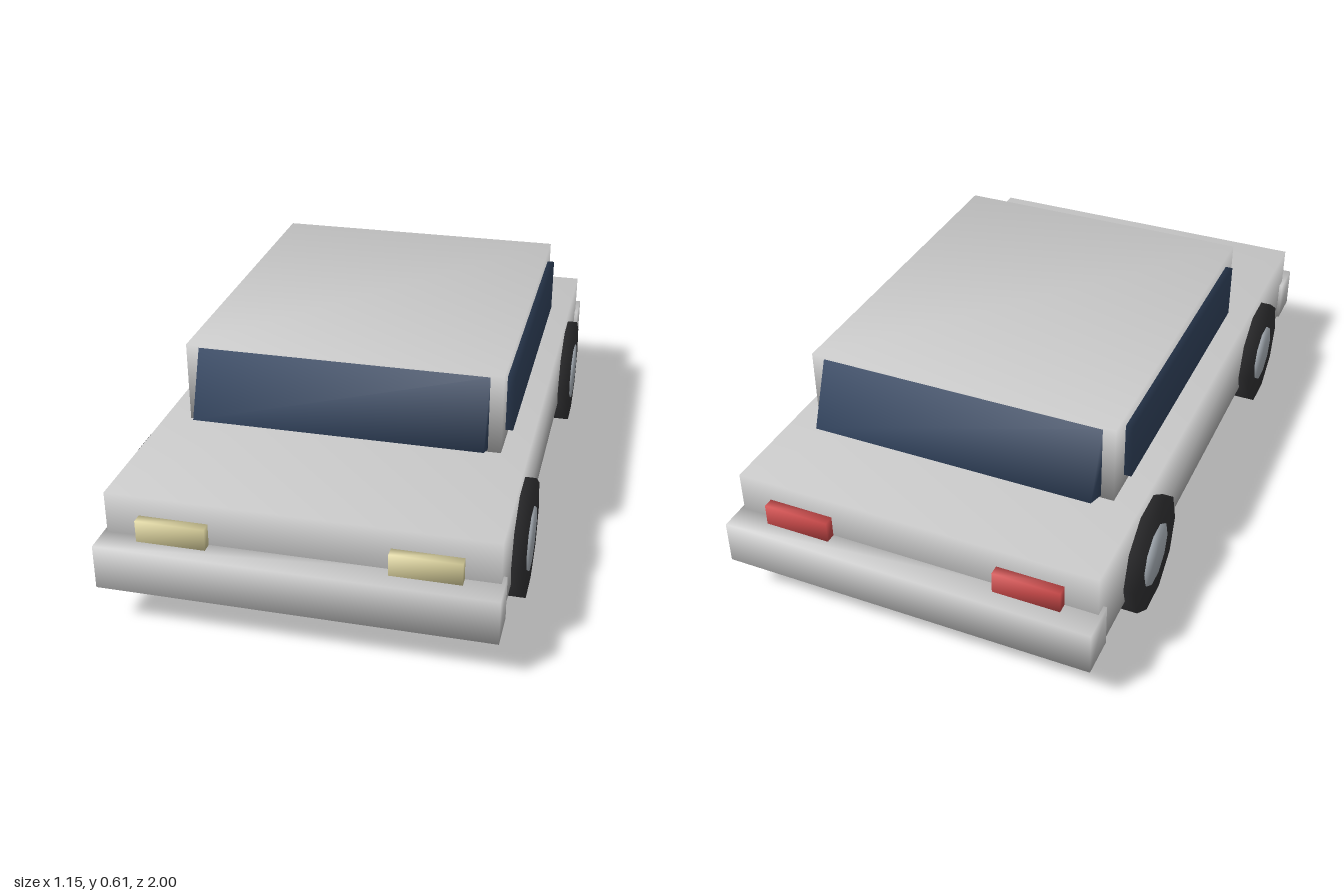
import * as THREE from 'three';
import { mergeVertices } from 'three/addons/utils/BufferGeometryUtils.js';

const paint = (color) => new THREE.MeshStandardMaterial({ color });

// Share corners between faces so shading runs smoothly around the low-poly edges
function soften(geometry) {
  geometry.deleteAttribute('uv');
  geometry.deleteAttribute('normal');
  const merged = mergeVertices(geometry);
  merged.computeVertexNormals();
  return merged;
}

export function createModel() {
  const car = new THREE.Group();
  car.name = 'car';
  const grey = paint(0xcccccc);
  const glass = paint(0x334560);
  const rubber = paint(0x333335);
  const hubMetal = paint(0xb4bcc4);
  const cream = paint(0xd9d09c);
  const red = paint(0xcc4a4a);

  function add(name, geometry, material, x, y, z) {
    const mesh = new THREE.Mesh(soften(geometry), material);
    mesh.name = name;
    mesh.position.set(x, y, z);
    car.add(mesh);
    return mesh;
  }
  const box = (name, material, w, h, d, x, y, z) =>
    add(name, new THREE.BoxGeometry(w, h, d), material, x, y, z);

  // Body and cabin
  box('body', grey, 1.08, 0.26, 1.84, 0, 0.246, 0);
  box('cabin', grey, 0.926, 0.25, 1.075, 0, 0.491, -0.077);

  // Slanted front and rear glass, half sunk into the cabin
  const slant = 0.384, height = 0.21, depth = 0.1;
  for (const [name, dir, edge] of [['windshield', 1, 0.5], ['rearWindow', -1, 0.653]]) {
    // Centre of the outer face, moved inwards by half the thickness
    const z = dir * (edge - Math.cos(slant) * depth / 2);
    const y = 0.512 - Math.sin(slant) * depth / 2;
    box(name, glass, 0.85, height, depth, 0, y, z).rotation.x = -dir * slant;
  }

  // Bumpers at both ends
  box('frontBumper', grey, 1.1, 0.13, 0.115, 0, 0.189, 0.9425);
  box('rearBumper', grey, 1.1, 0.13, 0.115, 0, 0.189, -0.9425);

  for (const [side, s] of [['left', 1], ['right', -1]]) {
    box(side + 'SideWindow', glass, 0.04, 0.168, 0.925, s * 0.465, 0.496, -0.077);

    // Lamps
    box(side + 'Headlight', cream, 0.195, 0.07, 0.04, s * 0.347, 0.283, 0.93);
    box(side + 'TailLight', red, 0.195, 0.07, 0.04, s * 0.347, 0.283, -0.93);

    // Wheels with hubs
    for (const [end, z] of [['Front', 0.56], ['Rear', -0.555]]) {
      const tyre = new THREE.CylinderGeometry(0.174, 0.174, 0.062, 10).rotateZ(Math.PI / 2);
      const hub = new THREE.CylinderGeometry(0.094, 0.094, 0.07, 10).rotateZ(Math.PI / 2);
      add(side + end + 'Tyre', tyre, rubber, s * 0.541, 0.17, z);
      add(side + end + 'Hub', hub, hubMetal, s * 0.541, 0.17, z);
    }
  }
  return car;
}
